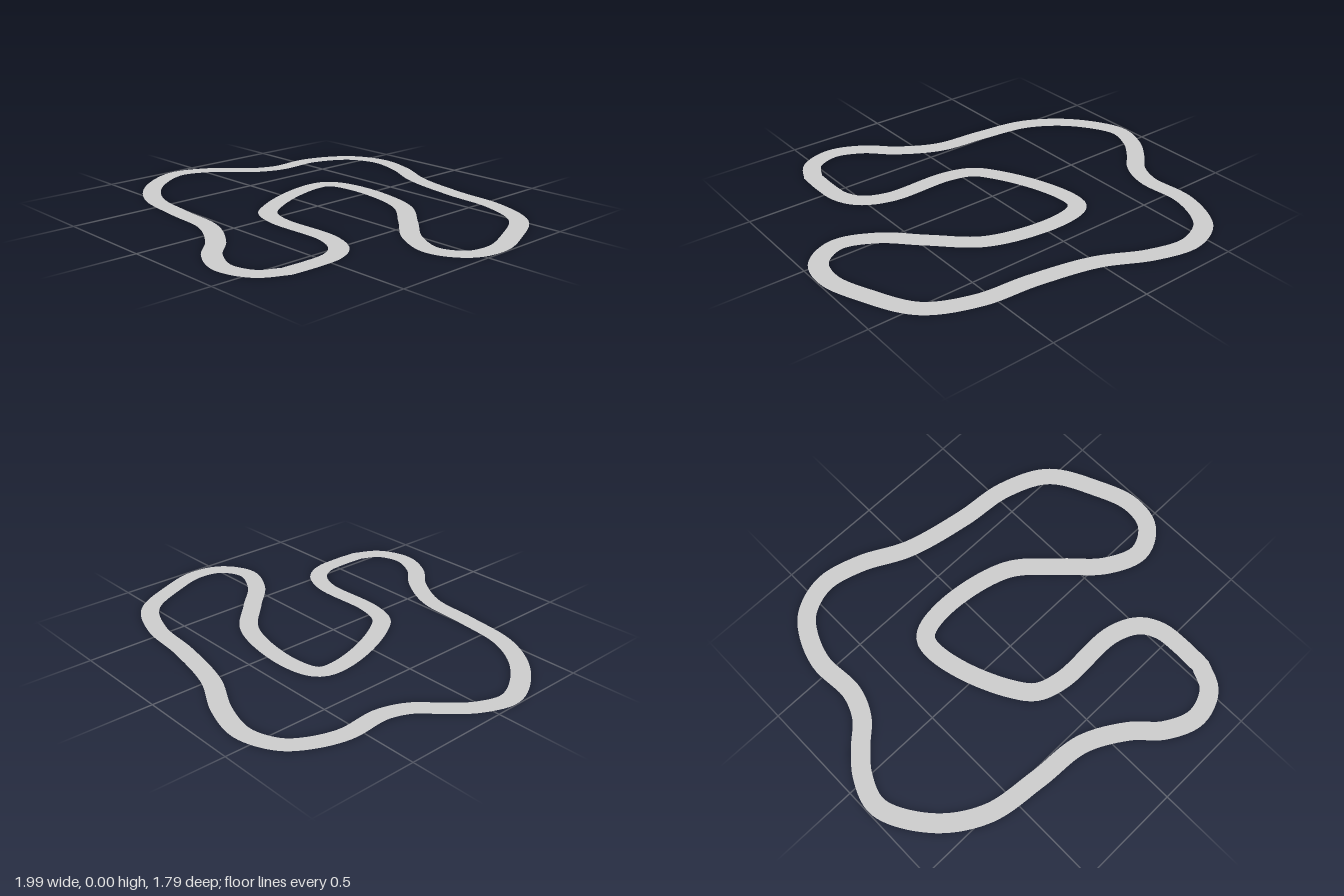
import * as THREE from 'three';

const WIDTH = 0.088;

// Centre line of the circuit as [x, z], one lap
const CENTRE = [
  [0.568, 0.69], [0.508, 0.797], [0.37, 0.845], [0.22, 0.786], [0.096, 0.672], [-0.1, 0.566],
  [-0.353, 0.54], [-0.62, 0.496], [-0.824, 0.358], [-0.952, 0.134], [-0.91, -0.016],
  [-0.824, -0.128], [-0.733, -0.222], [-0.683, -0.35], [-0.69, -0.561], [-0.636, -0.717],
  [-0.567, -0.8], [-0.417, -0.854], [-0.225, -0.813], [0, -0.706], [0.3, -0.642],
  [0.556, -0.613], [0.77, -0.513], [0.893, -0.3], [0.952, -0.118], [0.92, 0.02],
  [0.79, 0.092], [0.62, 0.027], [0.46, -0.123], [0.267, -0.289], [-0.03, -0.357],
  [-0.215, -0.338], [-0.263, -0.3], [-0.274, -0.22], [-0.235, -0.043], [-0.144, 0.155],
  [-0.07, 0.247], [0.06, 0.289], [0.38, 0.294], [0.508, 0.353], [0.562, 0.444], [0.572, 0.56],
];

// Flat closed ribbon of constant width facing up
function ribbon(points, width) {
  const n = points.length, position = [], normal = [], index = [];
  points.forEach((p, i) => {
    const t = points[(i + 1) % n].clone().sub(points[(i + n - 1) % n]).setLength(width / 2);
    position.push(p.x - t.z, 0, p.z + t.x, p.x + t.z, 0, p.z - t.x);
    normal.push(0, 1, 0, 0, 1, 0);
    const a = 2 * i, b = 2 * ((i + 1) % n);
    index.push(a, b, a + 1, a + 1, b, b + 1);
  });
  const geometry = new THREE.BufferGeometry();
  geometry.setAttribute('position', new THREE.Float32BufferAttribute(position, 3));
  geometry.setAttribute('normal', new THREE.Float32BufferAttribute(normal, 3));
  geometry.setIndex(index);
  return geometry;
}

export function createModel() {
  const group = new THREE.Group();
  const material = new THREE.MeshStandardMaterial({ color: 0xcccccc, side: THREE.DoubleSide });

  // Road surface: the lap starts and ends at a slight kink
  const knots = [...CENTRE, CENTRE[0]].map(([x, z]) => new THREE.Vector3(x, 0, z));
  const samples = new THREE.CatmullRomCurve3(knots).getSpacedPoints(320).slice(0, -1);
  const road = new THREE.Mesh(ribbon(samples, WIDTH), material);
  road.name = 'roadSurface';
  group.add(road);

  // Thin marker just above the road on the straight
  const marker = new THREE.Mesh(new THREE.PlaneGeometry(0.06, 0.11).rotateX(-Math.PI / 2), material);
  marker.name = 'startMarker';
  marker.position.set(0.572, 0.005, 0.553);
  group.add(marker);

  return group;
}
